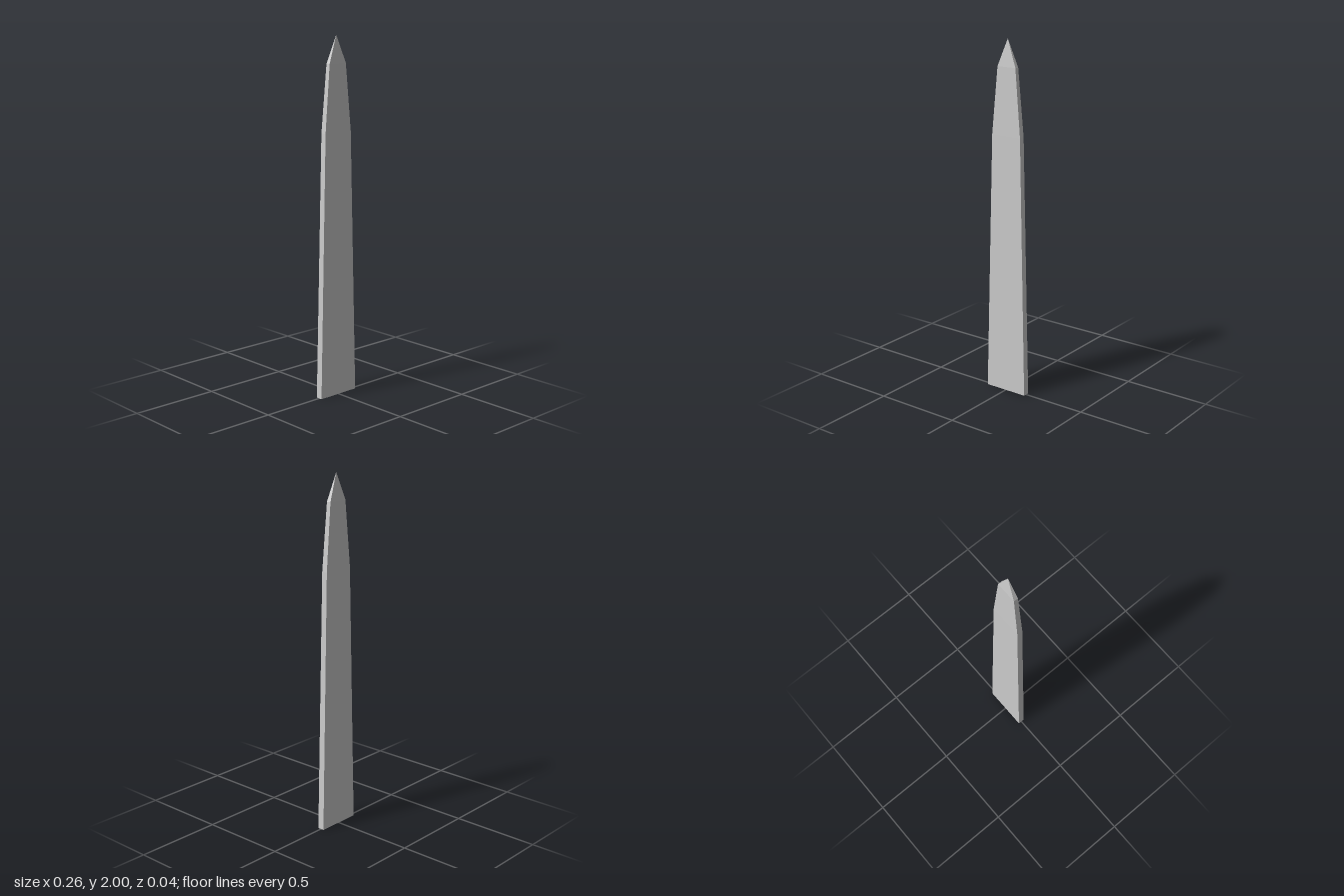
import * as THREE from 'three';

// Cross-sections from base to shoulder: [height, half width, half depth]
const SECTIONS = [
  [0, 0.13, 0.0195],
  [1.48, 0.093, 0.0165],
  [1.85, 0.059, 0.0125],
];
const TIP = [0, 2, 0];

// Four corners, counter-clockwise seen from above
const ring = ([y, w, d]) => [[w, y, d], [w, y, -d], [-w, y, -d], [-w, y, d]];

function bladeGeometry() {
  const rings = SECTIONS.map(ring);
  const positions = [];
  const tri = (...corners) => corners.forEach((p) => positions.push(...p));
  const quad = (a, b, c, d) => { tri(a, b, c); tri(a, c, d); };

  for (let i = 0; i < 4; i++) {
    const j = (i + 1) % 4;
    // Tapering sides
    for (let k = 0; k < rings.length - 1; k++) {
      quad(rings[k][i], rings[k][j], rings[k + 1][j], rings[k + 1][i]);
    }
    // Pointed tip
    const top = rings[rings.length - 1];
    tri(top[i], top[j], TIP);
  }
  // Flat base
  quad(...[...rings[0]].reverse());

  const geometry = new THREE.BufferGeometry();
  geometry.setAttribute('position', new THREE.Float32BufferAttribute(positions, 3));
  geometry.computeVertexNormals();
  return geometry;
}

export function createModel() {
  const group = new THREE.Group();
  const material = new THREE.MeshStandardMaterial({ color: 0xcccccc, flatShading: true });
  const blade = new THREE.Mesh(bladeGeometry(), material);
  blade.name = 'blade';
  group.add(blade);
  return group;
}
